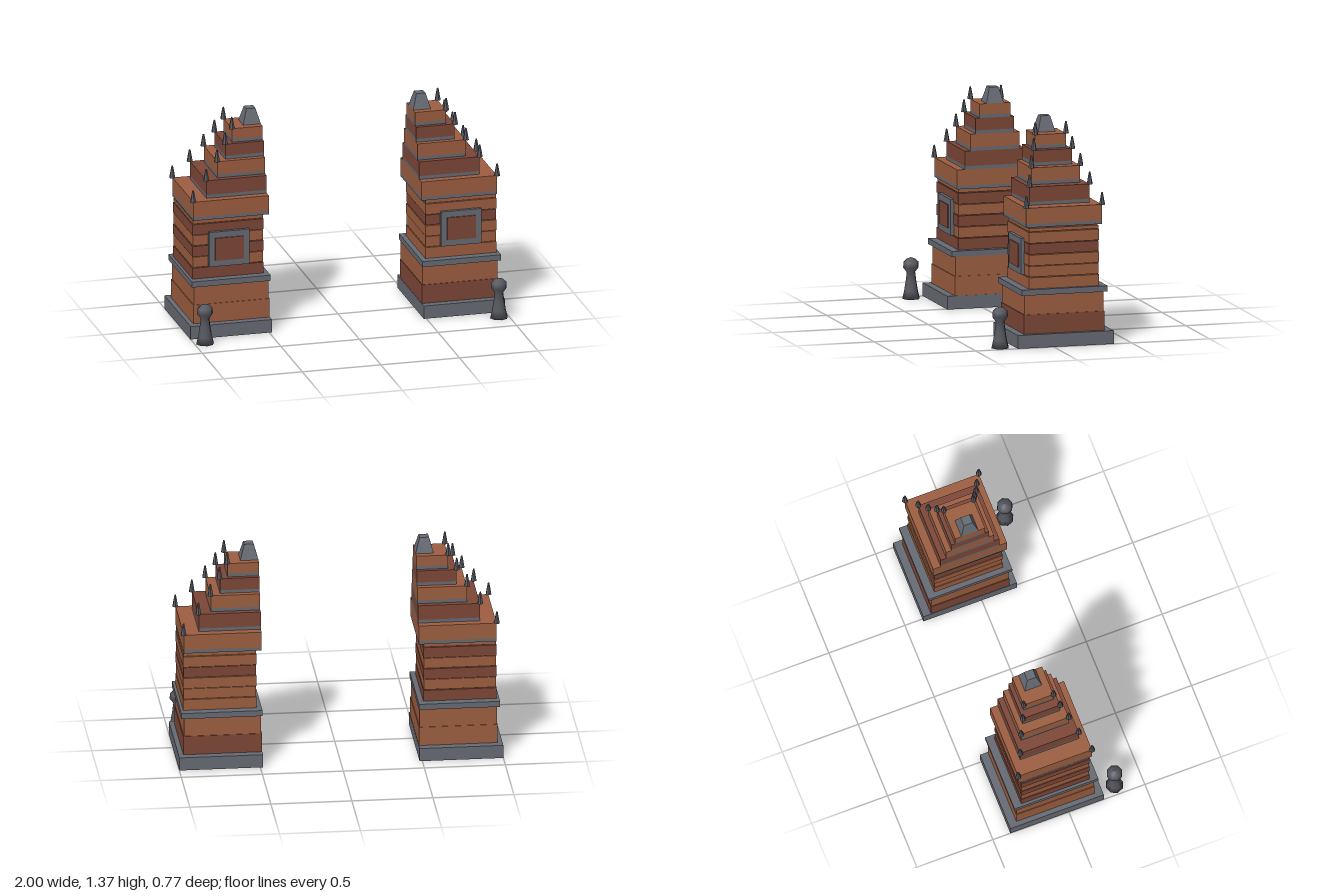
import * as THREE from 'three';

const mat = (color, flatShading = true) => new THREE.MeshStandardMaterial({ color, flatShading });
const light = mat(0x9d5e40), dark = mat(0x7d4737), stone = mat(0x666a73), iron = mat(0x55575f);

function add(group, name, geometry, material, x, y, z) {
  const mesh = new THREE.Mesh(geometry, material);
  mesh.name = name;
  mesh.position.set(x, y, z);
  group.add(mesh);
  return mesh;
}

function tower(side, lowerColors, shaftColors) {
  const g = new THREE.Group();
  g.name = side > 0 ? 'leftTower' : 'rightTower';

  // Box from its limits; x is measured outward from the middle of the gateway
  const block = (name, material, x0, x1, y0, y1, z0, z1) =>
    add(g, name, new THREE.BoxGeometry(x1 - x0, y1 - y0, z1 - z0), material,
      side * (x0 + x1) / 2, (y0 + y1) / 2, (z0 + z1) / 2);

  // Plinth, lower courses and ledge
  block('plinth', stone, 0.483, 1, 0, 0.083, -0.385, 0.23);
  block('lowerCourse', lowerColors[0], 0.485, 0.97, 0.083, 0.203, -0.334, 0.181);
  block('lowerCourse', lowerColors[1], 0.489, 0.966, 0.203, 0.325, -0.33, 0.177);
  block('ledge', stone, 0.483, 0.984, 0.325, 0.361, -0.351, 0.2);

  // Shaft of brick courses with thin joints
  const joints = [0.362, 0.436, 0.506, 0.577, 0.646, 0.718, 0.743];
  shaftColors.forEach((m, i) => {
    const inset = i % 2 ? 0.003 : 0;
    block('shaftCourse', m, 0.515 + inset, 0.967 - inset, joints[i], joints[i + 1] - 0.004,
      -0.301 + inset, 0.15 - inset);
  });

  // Framed panel on the front
  const frame = new THREE.Shape([[-0.128, -0.112], [0.128, -0.112], [0.128, 0.112], [-0.128, 0.112]]
    .map(p => new THREE.Vector2(...p)));
  frame.holes.push(new THREE.Path([[-0.09, -0.073], [-0.09, 0.073], [0.09, 0.073], [0.09, -0.073]]
    .map(p => new THREE.Vector2(...p))));
  add(g, 'panelFrame', new THREE.ExtrudeGeometry(frame, { depth: 0.024, bevelEnabled: false }),
    stone, side * 0.738, 0.55, 0.147);
  block('panel', dark, 0.648, 0.828, 0.477, 0.623, 0.145, 0.178);

  // Stepped tiers, each on a stone strip, with a spike on both outer corners
  const tiers = [ // outer x, bottom, top, back z, front z
    [0.965, 0.745, 0.866, -0.32, 0.166],
    [0.868, 0.866, 0.98, -0.27, 0.116],
    [0.79, 0.98, 1.085, -0.234, 0.08],
    [0.73, 1.085, 1.182, -0.2, 0.047],
    [0.68, 1.182, 1.27, -0.175, 0.022],
  ];
  const spike = new THREE.LatheGeometry([[0, 0], [0.019, 0], [0.012, 0.04], [0.005, 0.076], [0, 0.078]]
    .map(p => new THREE.Vector2(...p)), 6);
  tiers.forEach(([x, y0, y1, z0, z1], i) => {
    block('tierStrip', stone, 0.485, x, y0, y0 + 0.021, z0, z1);
    block('tier', i % 2 ? dark : light, 0.485, x, y0 + 0.021, y1, z0, z1);
    for (const z of [z0, z1]) add(g, 'spike', spike, iron, side * (x + 0.002), y1, z);
  });

  // Tapered cap block
  const cap = new THREE.CylinderGeometry(0.029 * Math.SQRT2, 0.056 * Math.SQRT2, 0.096, 4);
  cap.rotateY(Math.PI / 4);
  add(g, 'cap', cap, stone, side * 0.541, 1.318, -0.078);

  // Round-headed bollard standing before the outer corner
  const profile = [[0, 0], [0.056, 0], [0.044, 0.05], [0.034, 0.11], [0.027, 0.165],
    [0.05, 0.195], [0.048, 0.228], [0.026, 0.248], [0, 0.257]];
  add(g, 'bollard', new THREE.LatheGeometry(profile.map(p => new THREE.Vector2(...p)), 8),
    mat(0x55575f, false), side * 0.935, 0, 0.325);
  return g;
}

export function createModel() {
  const model = new THREE.Group();
  model.name = 'gateTowers';
  model.add(
    tower(1, [dark, light], [light, light, light, dark, light, light]),
    tower(-1, [light, light], [dark, light, dark, light, dark, light]),
  );
  return model;
}
